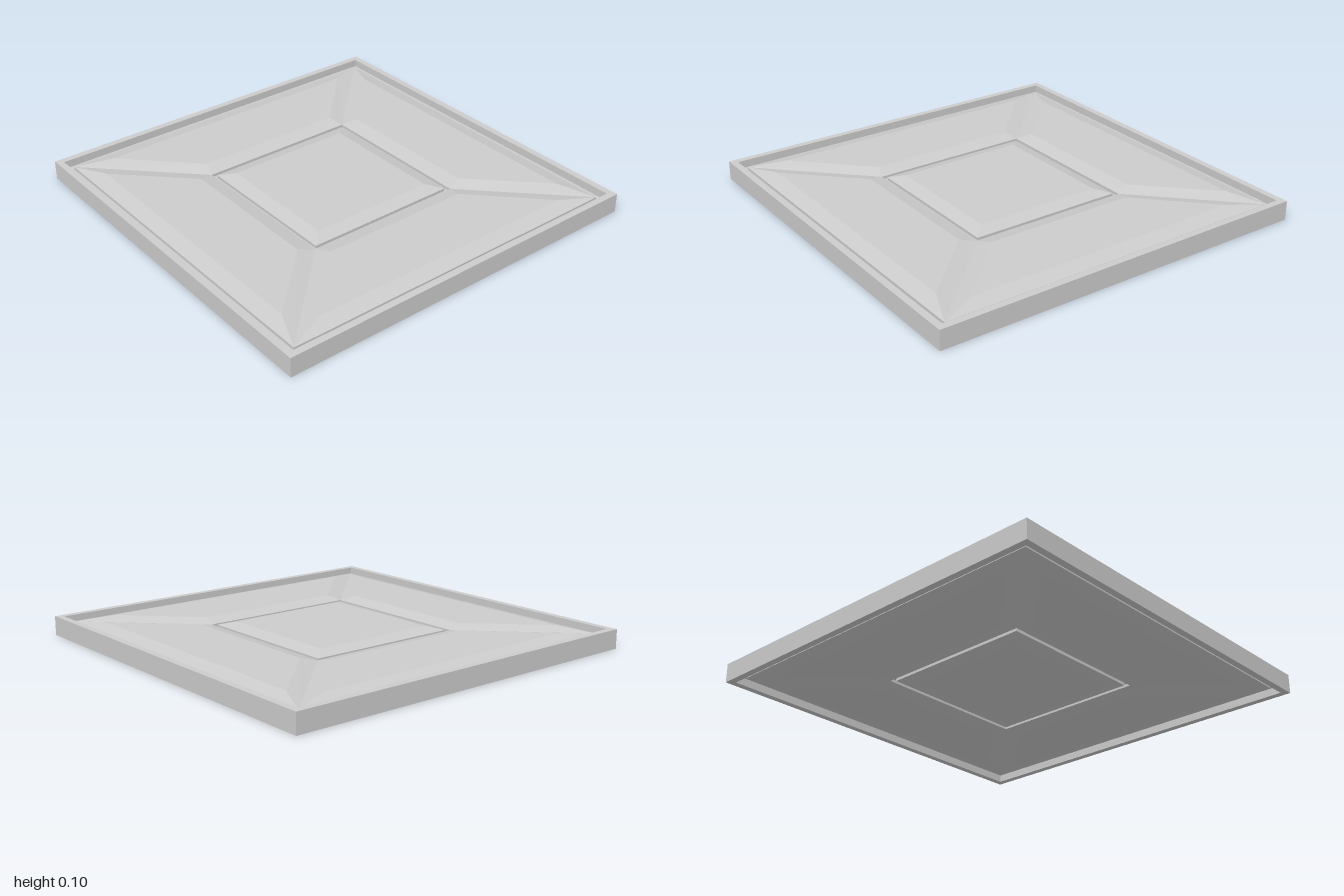
import * as THREE from 'three';

const material = new THREE.MeshStandardMaterial({ color: 0xcccccc, flatShading: true });
const HALF = 0.05;   // half the full thickness
const CORE = 0.01;   // half the thickness of the inner slab
const EDGE = 0.025;  // height where a panel's bevel starts
const CROWN = 0.044; // height of a panel's flat field

// Raised panel: vertical skirt, sloping bevel and flat field between two outlines of four [x, z] corners
function raisedPanel(name, base, field) {
  const rings = [[base, CORE], [base, EDGE], [field, CROWN]]
    .map(([pts, y]) => pts.map(([x, z]) => [x, y, z]));
  const pos = [];
  const quad = (a, b, c, d) => pos.push(...a, ...b, ...c, ...a, ...c, ...d);
  for (let r = 0; r < 2; r++) {
    for (let i = 0; i < 4; i++) {
      const j = (i + 1) % 4;
      quad(rings[r][i], rings[r][j], rings[r + 1][j], rings[r + 1][i]);
    }
  }
  quad(...rings[2]);
  const geometry = new THREE.BufferGeometry();
  geometry.setAttribute('position', new THREE.Float32BufferAttribute(pos, 3));
  geometry.computeVertexNormals();
  const mesh = new THREE.Mesh(geometry, material);
  mesh.name = name;
  return mesh;
}

// Corners of a square, counter-clockwise seen from above
const square = (s) => [[-s, s], [s, s], [s, -s], [-s, -s]];

// Corners of a trapezoid between an outer and an inner edge
const trapezoid = (outerX, outerZ, innerX, innerZ) =>
  [[-outerX, outerZ], [outerX, outerZ], [innerX, innerZ], [-innerX, innerZ]];

// One decorated side: square centre panel surrounded by four mitred panels
function panelFace(name) {
  const face = new THREE.Group();
  face.name = name;
  face.add(raisedPanel('centrePanel', square(0.405), square(0.335)));
  for (let i = 0; i < 4; i++) {
    const panel = raisedPanel('mitredPanel',
      trapezoid(0.93, 0.93, 0.425, 0.425),
      trapezoid(0.74, 0.85, 0.4, 0.505));
    panel.rotation.y = i * Math.PI / 2;
    face.add(panel);
  }
  return face;
}

export function createModel() {
  const model = new THREE.Group();
  model.name = 'squarePanel';

  // Square rim, its outlines counter-clockwise in the shape's plane
  const outline = (s) => square(s).map(([x, z]) => new THREE.Vector2(x, -z));
  const shape = new THREE.Shape(outline(1));
  shape.holes.push(new THREE.Path(outline(0.965)));
  const rimGeometry = new THREE.ExtrudeGeometry(shape, { depth: HALF * 2, bevelEnabled: false });
  rimGeometry.rotateX(-Math.PI / 2);
  const rim = new THREE.Mesh(rimGeometry, material);
  rim.name = 'rim';
  model.add(rim);

  // Thin slab forming the floor of the grooves
  const slab = new THREE.Mesh(new THREE.BoxGeometry(1.93, CORE * 2, 1.93), material);
  slab.name = 'coreSlab';
  slab.position.y = HALF;
  model.add(slab);

  // Matching panels above and below
  const top = panelFace('topPanels');
  const bottom = panelFace('bottomPanels');
  bottom.rotation.x = Math.PI;
  for (const face of [top, bottom]) {
    face.position.y = HALF;
    model.add(face);
  }
  return model;
}
